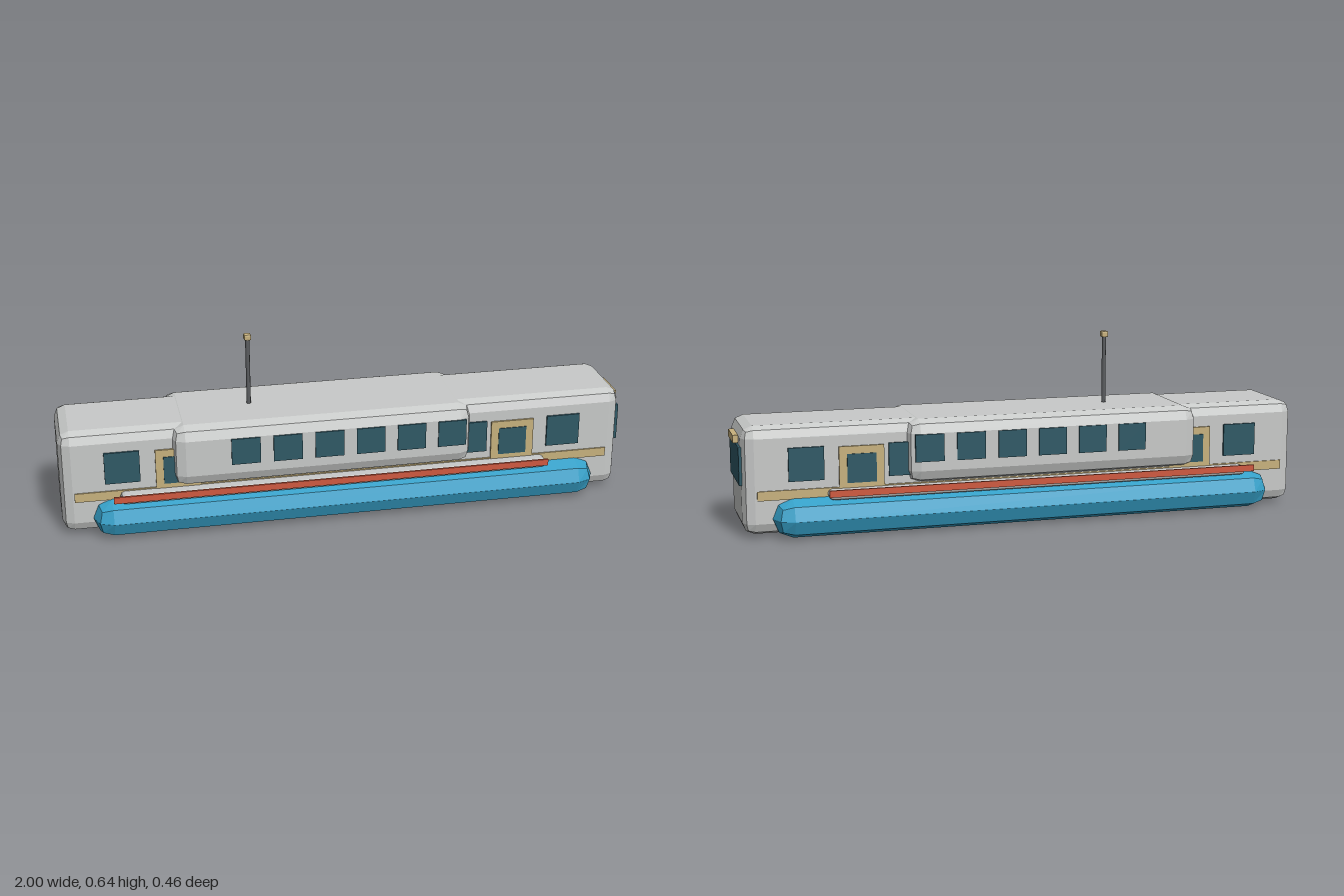
import * as THREE from 'three';
import { RoundedBoxGeometry } from 'three/addons/geometries/RoundedBoxGeometry.js';

function material(name, color) {
  const m = new THREE.MeshStandardMaterial({ color });
  m.name = name;
  return m;
}

export function createModel() {
  const model = new THREE.Group();
  model.name = 'riverTram';

  const grey = material('body grey', 0xc8cac9);
  const blue = material('hull blue', 0x36a0c8);
  const glass = material('window glass', 0x2f5966);
  const gold = material('pale gold', 0xc8b27e);
  const red = material('rail red', 0xd05a40);
  const steel = material('mast grey', 0x5c5e61);

  function add(name, geometry, mat, x, y, z) {
    const mesh = new THREE.Mesh(geometry, mat);
    mesh.name = name;
    mesh.position.set(x, y, z);
    model.add(mesh);
    return mesh;
  }

  // Boxes are given by their min and max on each axis
  function box(name, mat, [x0, x1], [y0, y1], [z0, z1], bevel = 0) {
    const size = [x1 - x0, y1 - y0, z1 - z0];
    const geometry = bevel
      ? new RoundedBoxGeometry(...size, 1, bevel)
      : new THREE.BoxGeometry(...size);
    if (bevel) geometry.computeVertexNormals(); // faceted bevels
    return add(name, geometry, mat, (x0 + x1) / 2, (y0 + y1) / 2, (z0 + z1) / 2);
  }

  // Hull, long cabin and wider middle section
  box('hull', blue, [-0.895, 0.885], [0, 0.132], [-0.228, 0.228], 0.0655);
  box('cabin', grey, [-1, 0.982], [0.01, 0.378], [-0.155, 0.155], 0.04);
  box('middleSection', grey, [-0.62, 0.43], [0.16, 0.379], [-0.19, 0.19], 0.045);

  // Windscreen and destination panel on the +x end
  box('windscreen', glass, [0.978, 0.99], [0.177, 0.309], [-0.122, 0.122], 0.003);
  box('destinationPanel', gold, [0.981, 1], [0.313, 0.339], [-0.062, 0.062]);

  // Side details, the same on both sides
  for (const side of [1, -1]) {
    const range = (a, b) => (side > 0 ? [a, b] : [-b, -a]);

    box('sideStripe', gold, [-0.955, 0.935], [0.13, 0.162], range(0.152, 0.16));
    box('walkway', grey, [-0.8, 0.7], [0.126, 0.158], range(0.14, 0.207), 0.014);
    box('rail', red, [-0.826, 0.703], [0.14, 0.163], range(0.209, 0.217));

    for (const x of [-0.79, 0.43, 0.77]) {
      box('cabinWindow', glass, [x - 0.06, x + 0.06], [0.19, 0.304], range(0.153, 0.162));
    }
    for (const x of [-0.6, 0.583]) {
      box('door', gold, [x - 0.077, x + 0.077], [0.14, 0.3], range(0.153, 0.162));
      box('doorWindow', glass, [x - 0.05, x + 0.05], [0.175, 0.274], range(0.158, 0.165));
    }
    for (let i = 0; i < 6; i++) {
      const x = -0.37 + i * 0.145;
      box('middleWindow', glass, [x - 0.05, x + 0.05], [0.238, 0.332], range(0.187, 0.195));
    }
  }

  // Roof mast with its lamp
  add('mast', new THREE.CylinderGeometry(0.0075, 0.0075, 0.25, 8), steel, -0.33, 0.495, 0);
  box('mastLamp', gold, [-0.3425, -0.3175], [0.614, 0.636], [-0.0125, 0.0125], 0.005);

  return model;
}
